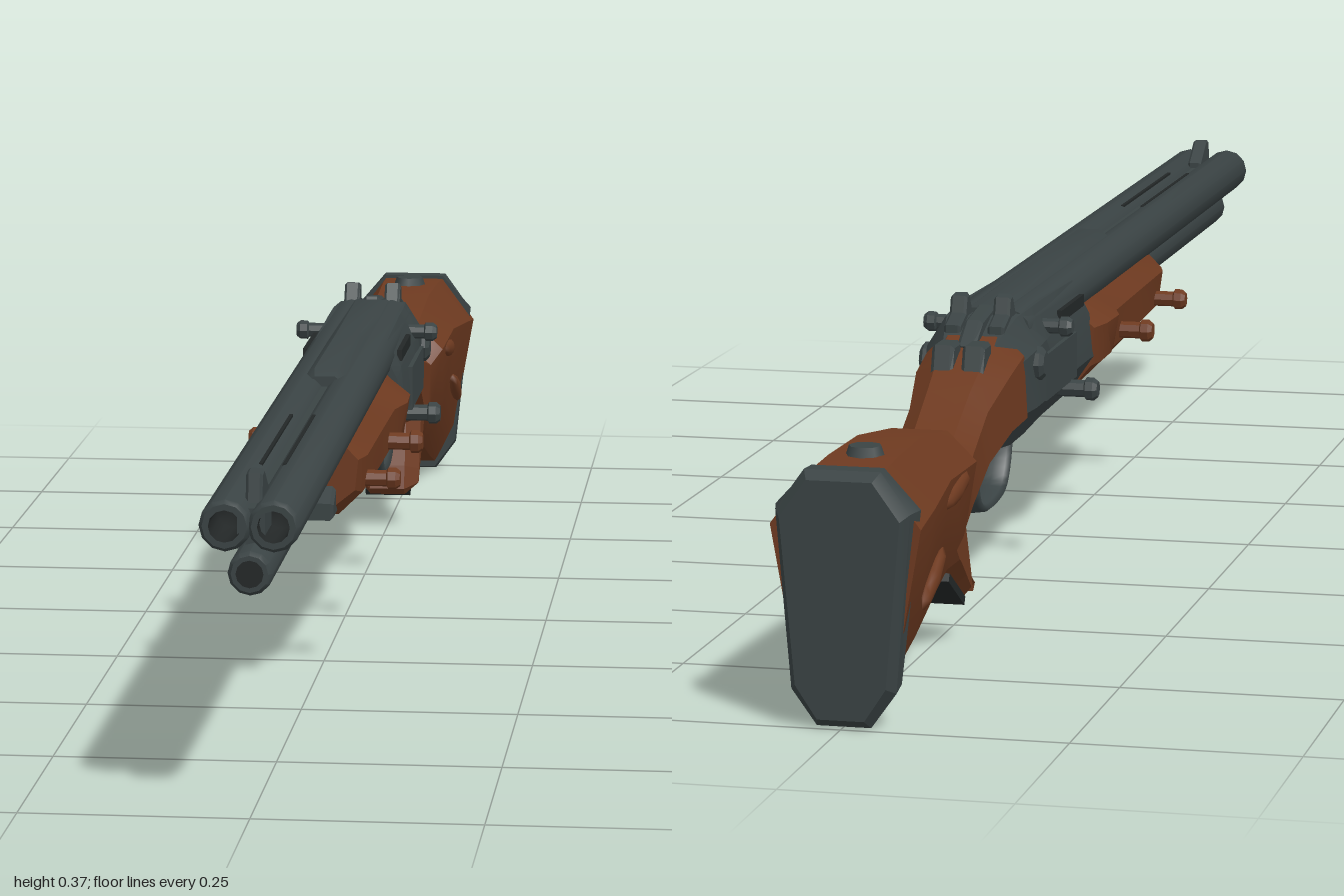
import * as THREE from 'three';
import { toCreasedNormals } from 'three/addons/utils/BufferGeometryUtils.js';

const metal = new THREE.MeshStandardMaterial({ color: 0x3a4344 });
metal.name = 'gunmetal';
const wood = new THREE.MeshStandardMaterial({ color: 0x6e3a20 });
wood.name = 'walnut';
const dark = new THREE.MeshStandardMaterial({ color: 0x232727 });
dark.name = 'dark steel';

// Eight-sided loft from front to back.
// Section: [z, top y, bottom y, half-widths at top, upper, lower, bottom]; lo/hi are shoulder heights (0..1).
function loft(sections, lo, hi, crease = 0.6) {
  const pos = [], idx = [], n = 8;
  for (const [z, yt, yb, wt, wu, wl, wb] of sections) {
    const h = yt - yb;
    const half = [[wb, yb], [wl, yb + h * lo], [wu, yb + h * hi], [wt, yt]];
    for (const [x, y] of half) pos.push(x, y, z);
    for (const [x, y] of half.slice().reverse()) pos.push(-x, y, z);
  }
  const last = (sections.length - 1) * n;
  for (let s = 0; s < last; s += n)
    for (let i = 0; i < n; i++) {
      const a = s + i, b = s + (i + 1) % n;
      idx.push(a, a + n, b, b, a + n, b + n);
    }
  for (let i = 1; i < n - 1; i++) {
    idx.push(0, i, i + 1);
    idx.push(last, last + i + 1, last + i);
  }
  const g = new THREE.BufferGeometry();
  g.setAttribute('position', new THREE.Float32BufferAttribute(pos, 3));
  g.setIndex(idx);
  return toCreasedNormals(g, crease);
}

// Side silhouette of [z, y] points, given a width along x and a bevel.
function plate(points, width, bevel = 0.004) {
  const shape = new THREE.Shape(points.map(([z, y]) => new THREE.Vector2(-z, y)));
  const depth = width - 2 * bevel;
  const g = new THREE.ExtrudeGeometry(shape, {
    depth, bevelEnabled: bevel > 0, bevelThickness: bevel, bevelSize: bevel, bevelOffset: -bevel, bevelSegments: 1
  });
  g.translate(0, 0, -depth / 2);
  return g.rotateY(Math.PI / 2);
}

// Hollow pipe along z with an open bore at the muzzle.
function pipe(r, zBack, zFront) {
  const p = [[0, zBack], [r, zBack], [r, zFront - 0.006], [r - 0.004, zFront], [r * 0.62, zFront]];
  const g = new THREE.LatheGeometry(p.map(([x, y]) => new THREE.Vector2(x, y)), 12);
  return toCreasedNormals(g.rotateX(Math.PI / 2), 0.7);
}

export function createModel() {
  const root = new THREE.Group();
  const add = (name, geo, mat, x = 0, y = 0, z = 0) => {
    const m = new THREE.Mesh(geo, mat);
    m.name = name;
    m.position.set(x, y, z);
    root.add(m);
    return m;
  };
  const box = (w, h, d) => new THREE.BoxGeometry(w, h, d);
  const bore = (r) => new THREE.LatheGeometry(
    [[r, 0], [r, -0.08], [0, -0.08]].map(([x, y]) => new THREE.Vector2(x, y)), 12).rotateX(Math.PI / 2);

  // Twin barrels and the tube beneath
  for (const s of [-1, 1]) {
    add('barrel', pipe(0.028, -0.34, 1), metal, s * 0.026, 0.318);
    add('barrelBore', bore(0.0174), dark, s * 0.026, 0.318, 1).material = dark;
  }
  add('lowerTube', pipe(0.024, -0.1, 0.995), metal, 0, 0.266);
  add('lowerTubePlug', new THREE.CircleGeometry(0.0152, 12), dark, 0, 0.266, 0.994);
  add('barrelWeb', box(0.03, 0.03, 1.3), metal, 0, 0.319, 0.33);
  add('tubeBracket', box(0.02, 0.03, 0.03), metal, 0, 0.292, 0.93);

  // Sighting rib, vent slots and front sight
  add('rib', loft([[0.24, 0.346, 0.325, 0.012, 0.02, 0.03, 0.03], [0.22, 0.353, 0.325, 0.014, 0.024, 0.03, 0.03],
    [-0.02, 0.353, 0.325, 0.014, 0.024, 0.03, 0.03], [-0.34, 0.346, 0.325, 0.02, 0.03, 0.035, 0.035]], 0.3, 0.7), metal);
  for (const s of [-1, 1]) add('ventSlot', box(0.004, 0.004, 0.3), dark, s * 0.013, 0.342, 0.63);
  add('frontSight', plate([[0.955, 0.335], [0.95, 0.366], [0.93, 0.368], [0.89, 0.342], [0.89, 0.335]], 0.018, 0.003), metal);

  // Wooden fore-end with front lip
  add('foreEnd', loft([
    [0.4, 0.293, 0.218, 0.04, 0.056, 0.052, 0.024], [0.37, 0.297, 0.206, 0.045, 0.064, 0.058, 0.03],
    [0.2, 0.298, 0.202, 0.045, 0.066, 0.062, 0.034], [0.07, 0.298, 0.202, 0.045, 0.068, 0.064, 0.036],
    [0.03, 0.3, 0.201, 0.05, 0.08, 0.07, 0.038], [-0.03, 0.3, 0.2, 0.05, 0.078, 0.07, 0.04],
    [-0.06, 0.298, 0.2, 0.045, 0.068, 0.064, 0.04]], 0.3, 0.78), wood);
  add('foreEndLip', plate([[0.43, 0.21], [0.43, 0.23], [0.4, 0.245], [0.38, 0.24], [0.38, 0.21]], 0.06), metal);

  // Receiver
  add('receiver', loft([
    [-0.05, 0.322, 0.204, 0.045, 0.06, 0.066, 0.042], [-0.08, 0.338, 0.202, 0.045, 0.062, 0.068, 0.042],
    [-0.24, 0.342, 0.2, 0.045, 0.062, 0.068, 0.042], [-0.3, 0.342, 0.19, 0.045, 0.064, 0.068, 0.036],
    [-0.36, 0.34, 0.188, 0.042, 0.066, 0.066, 0.034], [-0.43, 0.315, 0.195, 0.03, 0.05, 0.055, 0.03]], 0.3, 0.75, 0.4), metal);
  for (const s of [-1, 1]) {
    add('sidePlate', box(0.006, 0.055, 0.16), metal, s * 0.066, 0.262, -0.24);
    add('ejectionSlot', box(0.006, 0.014, 0.12), dark, s * 0.059, 0.316, -0.15);
  }

  // Side studs on fore-end and receiver: [material, z, y, reach, radius]
  const studs = [
    [wood, 0.345, 0.245, 0.1, 0.013], [wood, 0.11, 0.245, 0.106, 0.014],
    [metal, -0.19, 0.226, 0.102, 0.014], [metal, -0.275, 0.316, 0.09, 0.012], [metal, -0.35, 0.285, 0.075, 0.02]
  ];
  for (const [mat, z, y, reach, r] of studs)
    for (const s of [-1, 1]) {
      const p = [[0.001, 0.04], [r * 0.75, 0.04], [r * 0.75, reach - 0.016], [r, reach - 0.014], [r, reach - 0.005], [r * 0.7, reach], [0, reach]];
      const g = new THREE.LatheGeometry(p.map(([a, b]) => new THREE.Vector2(a, b)), 8);
      add('stud', toCreasedNormals(g.rotateZ(-s * Math.PI / 2), 0.5), mat, 0, y, z);
    }

  // Hammers and tang blocks
  for (const s of [-1, 1]) {
    add('hammer', plate([[-0.33, 0.33], [-0.352, 0.366], [-0.366, 0.364], [-0.372, 0.345], [-0.4, 0.335], [-0.4, 0.315]], 0.02, 0.003), metal, s * 0.026);
    add('tangBlock', plate([[-0.435, 0.295], [-0.44, 0.325], [-0.475, 0.325], [-0.485, 0.29]], 0.026), metal, s * 0.018);
  }
  add('topLever', plate([[-0.33, 0.33], [-0.34, 0.35], [-0.4, 0.342], [-0.44, 0.318], [-0.42, 0.305]], 0.022), metal);

  // Trigger guard and trigger
  const guard = new THREE.CatmullRomCurve3([[0.2, -0.285], [0.165, -0.29], [0.13, -0.315], [0.12, -0.36],
    [0.122, -0.41], [0.14, -0.445], [0.19, -0.455]].map(([y, z]) => new THREE.Vector3(0, y, z)));
  add('triggerGuard', new THREE.TubeGeometry(guard, 24, 0.0065, 8).scale(3, 1, 1), metal);
  add('trigger', plate([[-0.38, 0.2], [-0.395, 0.17], [-0.398, 0.145], [-0.407, 0.145], [-0.41, 0.17], [-0.41, 0.2]], 0.014, 0.002), metal);

  // Wrist and butt stock
  add('stock', loft([
    [-0.39, 0.328, 0.202, 0.03, 0.058, 0.062, 0.03], [-0.45, 0.312, 0.2, 0.028, 0.056, 0.058, 0.03],
    [-0.52, 0.28, 0.178, 0.025, 0.046, 0.048, 0.026], [-0.59, 0.244, 0.145, 0.024, 0.046, 0.046, 0.025],
    [-0.63, 0.235, 0.125, 0.026, 0.052, 0.047, 0.024], [-0.655, 0.262, 0.11, 0.032, 0.066, 0.05, 0.024],
    [-0.79, 0.28, 0.073, 0.035, 0.07, 0.055, 0.026], [-0.9, 0.28, 0.035, 0.038, 0.08, 0.057, 0.028],
    [-0.975, 0.276, 0.012, 0.04, 0.083, 0.056, 0.03]], 0.2, 0.78), wood);

  // Pistol grip with dark cap
  add('grip', plate([[-0.53, 0.2], [-0.585, 0.14], [-0.562, 0.085], [-0.552, 0.055], [-0.562, 0.046],
    [-0.6, 0.07], [-0.645, 0.096], [-0.67, 0.12], [-0.66, 0.2]], 0.082, 0.018), wood);
  const cap = add('gripCap', box(0.06, 0.01, 0.085), dark, 0, 0.069, -0.604);
  cap.rotation.x = Math.atan2(0.05, 0.085);

  // Carved side ridges on the stock
  for (const s of [-1, 1])
    for (const [z, y, x, tilt] of [[-0.75, 0.215, 0.066, 0.15], [-0.86, 0.14, 0.067, 0.45]]) {
      const ridge = add('stockRidge', new THREE.SphereGeometry(1, 8, 6).scale(0.008, 0.012, 0.055), wood, s * x, y, z);
      ridge.rotation.x = -tilt;
    }

  // Butt plate and stock screw
  add('buttPlate', loft([
    [-0.962, 0.281, 0.008, 0.04, 0.08, 0.058, 0.03], [-0.985, 0.281, 0.002, 0.042, 0.074, 0.058, 0.03],
    [-1, 0.272, 0.012, 0.036, 0.066, 0.05, 0.026]], 0.14, 0.84, 0.4), metal);
  add('stockScrew', new THREE.CylinderGeometry(0.018, 0.024, 0.018, 8), metal, 0, 0.281, -0.89);

  return root;
}
